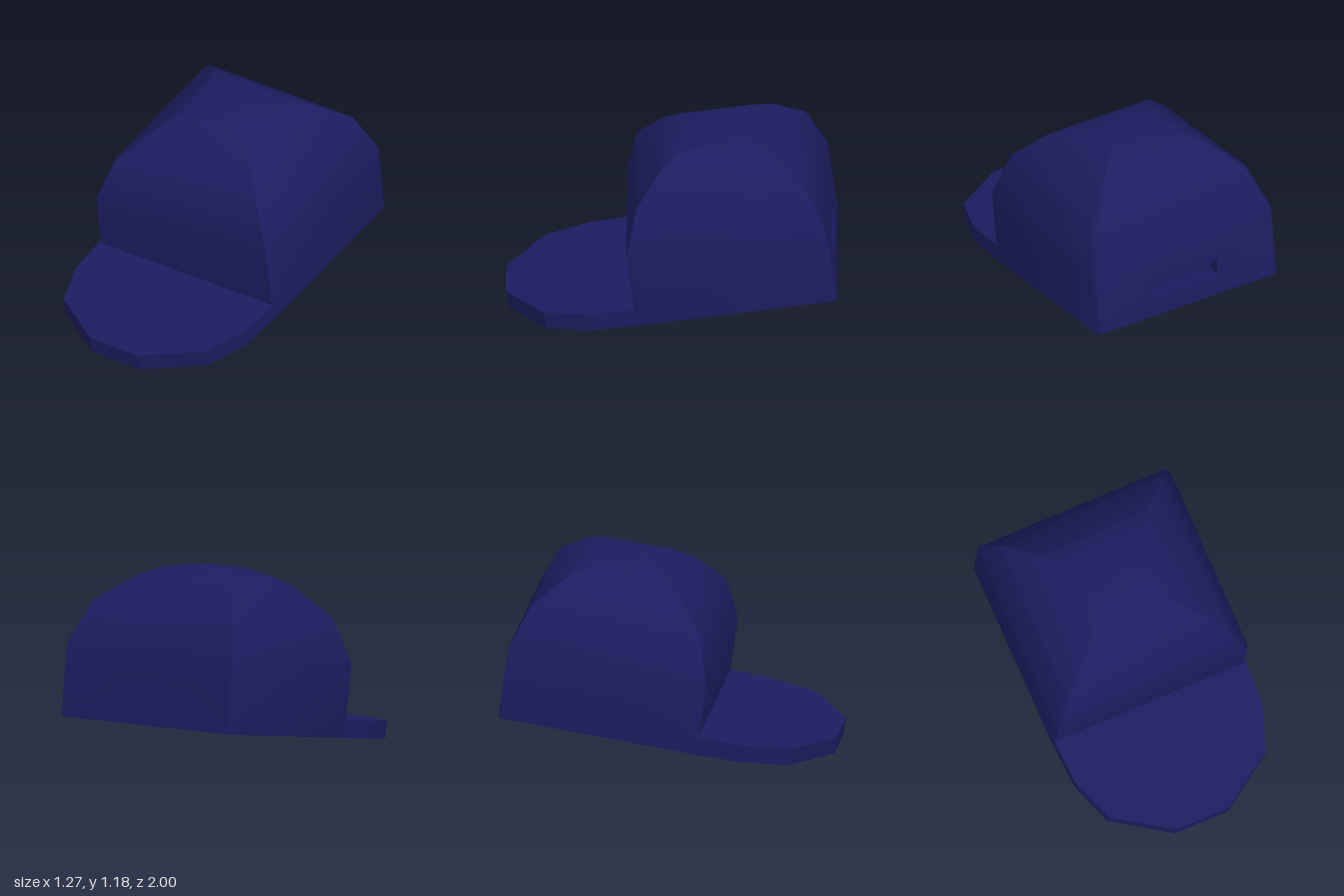
import * as THREE from 'three';
import { toCreasedNormals } from 'three/addons/utils/BufferGeometryUtils.js';

const CZ = -0.4; // centre of the crown along z
const TILT = 0.14; // the cap leans down toward the brim

// Rectangular ring with optionally chamfered corners, running +z, +x, -z, -x
function ring(y, hx, hz, chamfer = 0, cz = CZ) {
  const a = chamfer * 0.45, b = chamfer;
  return [
    [-hx + a, hz], [hx - a, hz], [hx, hz - b], [hx, -hz + b],
    [hx - a, -hz], [-hx + a, -hz], [-hx, -hz + b], [-hx, hz - b],
  ].map(([x, z]) => new THREE.Vector3(x, y, z + cz));
}

// Collects triangles, leaving out collapsed ones
class Skin {
  constructor(flip = false) {
    this.flip = flip;
    this.data = [];
  }
  tri(a, b, c) {
    if (new THREE.Triangle(a, b, c).getArea() < 1e-7) return;
    for (const p of this.flip ? [a, c, b] : [a, b, c]) this.data.push(p.x, p.y, p.z);
  }
  quad(a, b, c, d) {
    this.tri(a, b, c);
    this.tri(a, c, d);
  }
  loft(rings, skip = () => false) {
    for (let r = 0; r < rings.length - 1; r++) {
      const lo = rings[r], hi = rings[r + 1];
      for (let i = 0; i < 8; i++) {
        const j = (i + 1) % 8;
        if (!skip(r, i)) this.quad(lo[i], lo[j], hi[j], hi[i]);
      }
    }
    const top = rings[rings.length - 1];
    this.quad(top[0], top[1], top[3], top[5]);
  }
  geometry() {
    const g = new THREE.BufferGeometry();
    g.setAttribute('position', new THREE.Float32BufferAttribute(this.data, 3));
    return toCreasedNormals(g, 0.6);
  }
}

export function createModel() {
  const material = new THREE.MeshStandardMaterial({ color: 0x1c1c60 });
  const cap = new THREE.Group();
  cap.name = 'cap';
  const add = (name, geometry) => {
    const mesh = new THREE.Mesh(geometry, material);
    mesh.name = name;
    cap.add(mesh);
  };

  // Crown: squared dome, with the lower back panel left open
  const rings = [
    ring(0, 0.635, 0.61, 0.035),
    ring(0.452, 0.635, 0.61, 0.035),
    ring(0.72, 0.535, 0.515, 0.03),
    ring(0.887, 0.345, 0.33),
    ring(0.945, 0.25, 0.215),
    ring(0.98, 0.12, 0.117),
  ];
  const crown = new Skin();
  crown.loft(rings, (r, i) => r === 0 && i === 4);

  // Lower back panel with a shallow slot
  const outer = [rings[0][4], rings[0][5], rings[1][5], rings[1][4]];
  const slot = (hx, y0, y1, z) =>
    [[hx, y0], [-hx, y0], [-hx, y1], [hx, y1]].map(([x, y]) => new THREE.Vector3(x, y, z));
  const rim = slot(0.22, 0.13, 0.24, CZ - 0.61);
  const floor = slot(0.22, 0.13, 0.24, CZ - 0.53);
  for (const [from, to] of [[outer, rim], [rim, floor]]) {
    for (let i = 0; i < 4; i++) {
      const j = (i + 1) % 4;
      crown.quad(from[i], from[j], to[j], to[i]);
    }
  }
  crown.quad(...floor);
  add('crown', crown.geometry());

  // Underside rim with the head opening
  const base = new THREE.Shape(
    [[-0.635, 0.172], [-0.635, -0.975], [-0.62, -1.01], [0.62, -1.01], [0.635, -0.975], [0.635, 0.172]]
      .map(([x, z]) => new THREE.Vector2(x, z)));
  const hz = 0.315, hc = -0.485;
  base.holes.push(new THREE.Path(
    [[-0.435, hc - hz], [0.435, hc - hz], [0.435, hc + hz], [-0.435, hc + hz]]
      .map(([x, z]) => new THREE.Vector2(x, z))));
  add('underside', new THREE.ShapeGeometry(base).rotateX(Math.PI / 2));

  // Hollow inside of the crown
  const hollow = new Skin(true);
  hollow.loft([
    ring(0, 0.435, hz, 0, hc),
    ring(0.1, 0.335, hz, 0, hc),
    ring(0.8, 0.33, hz, 0, hc),
  ]);
  add('hollow', hollow.geometry());

  // Brim: flat faceted visor
  const half = [[0.635, 0.172], [0.62, 0.48], [0.613, 0.51], [0.52, 0.765], [0.172, 0.995]];
  const outline = [...half, ...half.map(([x, z]) => [-x, z]).reverse()];
  const visor = new THREE.Shape(outline.map(([x, z]) => new THREE.Vector2(x, z)));
  const brim = new THREE.ExtrudeGeometry(visor, { depth: 0.108, bevelEnabled: false });
  brim.rotateX(Math.PI / 2).translate(0, 0.108, 0);
  add('brim', brim);

  cap.rotation.x = TILT;
  cap.position.y = 0.14;
  const model = new THREE.Group();
  model.add(cap);
  return model;
}
